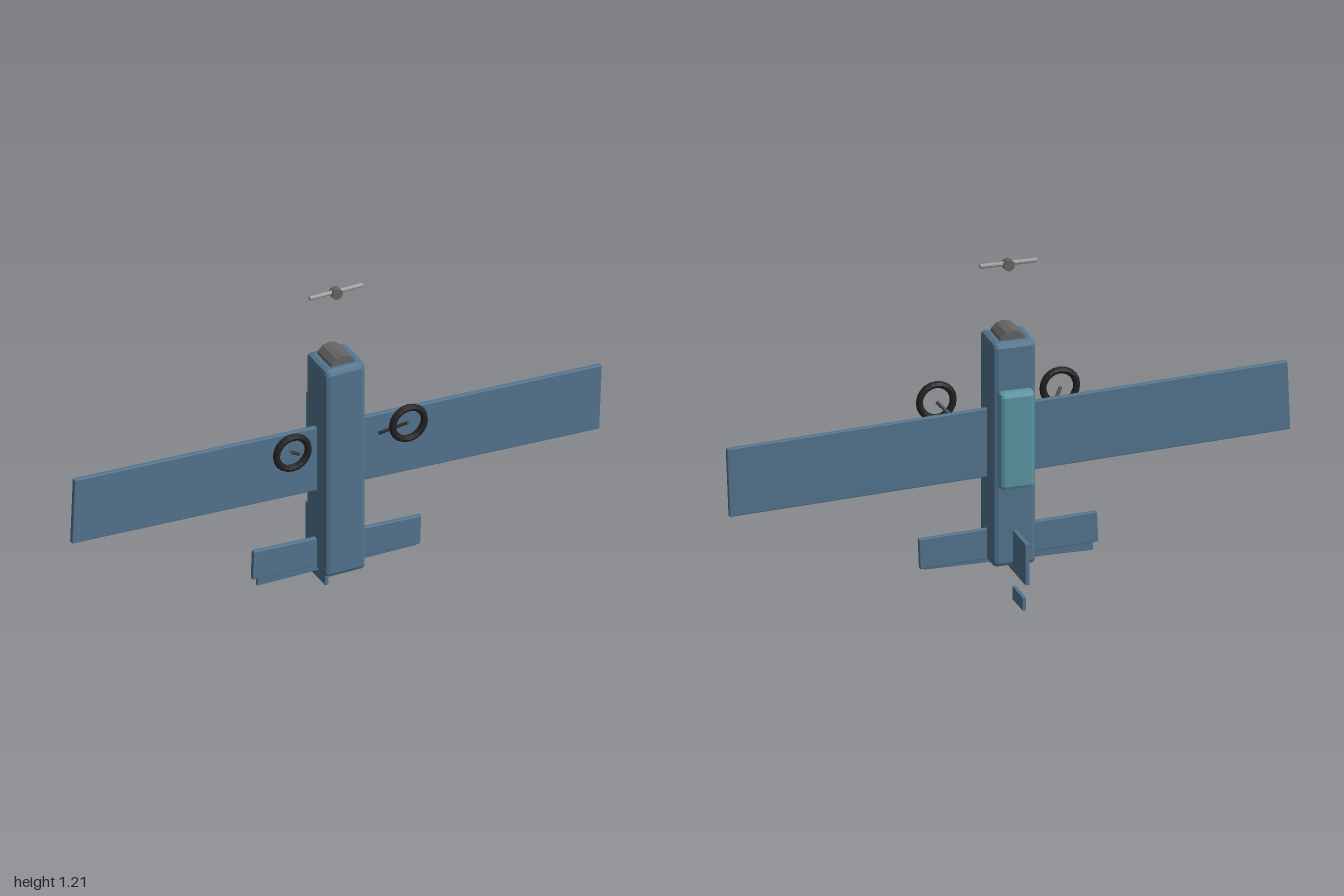
import * as THREE from 'three';
import { RoundedBoxGeometry } from 'three/addons/geometries/RoundedBoxGeometry.js';

const material = (color) => new THREE.MeshStandardMaterial({ color, flatShading: true });

export function createModel() {
  const plane = new THREE.Group();
  plane.name = 'toyPlane';

  const paint = material(0x547690);
  const glass = material(0x5c98a4);
  const darkMetal = material(0x666666);
  const metal = material(0x999999);
  const strutMetal = material(0x444444);
  const rubber = material(0x222222);

  function add(name, geometry, mat, x, y, z) {
    const mesh = new THREE.Mesh(geometry, mat);
    mesh.name = name;
    mesh.position.set(x, y, z);
    plane.add(mesh);
    return mesh;
  }

  // Box with chamfered edges, placed by its centre
  const block = (name, mat, [w, h, d], [x, y, z], chamfer) =>
    add(name, new RoundedBoxGeometry(w, h, d, 1, chamfer), mat, x, y, z);

  // Body and canopy
  block('fuselage', paint, [0.154, 0.814, 0.158], [0, 0.529, 0.049], 0.018);
  block('canopy', glass, [0.124, 0.352, 0.1], [0, 0.589, -0.016], 0.015);

  // Slightly skewed wing and tailplane
  const skew = -0.04;
  block('wing', paint, [1.99, 0.248, 0.018], [0, 0.557, 0.049], 0.003).rotation.z = skew;
  block('tailplane', paint, [0.633, 0.109, 0.018], [0, 0.189, 0.049], 0.003).rotation.z = skew;

  // Control surfaces and fin
  block('elevator', paint, [0.6, 0.045, 0.012], [0, 0.1405, 0.049], 0.002);
  block('fin', paint, [0.016, 0.15, 0.217], [0, 0.18, -0.0585], 0.002);
  block('rudder', paint, [0.014, 0.048, 0.113], [0, 0.024, -0.0765], 0.002);

  // Engine cowl: a drum lying front to back in the nose
  add('cowl', new THREE.CylinderGeometry(0.05, 0.05, 0.103, 12), darkMetal, 0, 0.92, 0.049)
    .rotation.x = Math.PI / 2;

  // Propeller floating ahead of the nose
  add('propellerHub', new THREE.CylinderGeometry(0.02, 0.02, 0.028, 12), darkMetal, 0, 1.19, 0.048)
    .rotation.x = Math.PI / 2;
  add('propellerBlade', new THREE.CylinderGeometry(0.008, 0.008, 0.2, 10), metal, 0, 1.195, 0.048)
    .rotation.z = Math.PI / 2;

  // Landing gear on both sides
  const up = new THREE.Vector3(0, 1, 0);
  for (const [side, s] of [['left', 1], ['right', -1]]) {
    add(side + 'Wheel', new THREE.TorusGeometry(0.06, 0.0125, 8, 20), rubber, s * 0.219, 0.678, 0.159);

    const top = new THREE.Vector3(s * 0.152, 0.608, 0.07);
    const hub = new THREE.Vector3(s * 0.219, 0.677, 0.153);
    const axis = hub.clone().sub(top);
    const middle = top.clone().add(hub).multiplyScalar(0.5);
    add(side + 'Strut', new THREE.CylinderGeometry(0.0065, 0.0065, axis.length(), 8), strutMetal,
      middle.x, middle.y, middle.z).quaternion.setFromUnitVectors(up, axis.normalize());
  }

  return plane;
}
